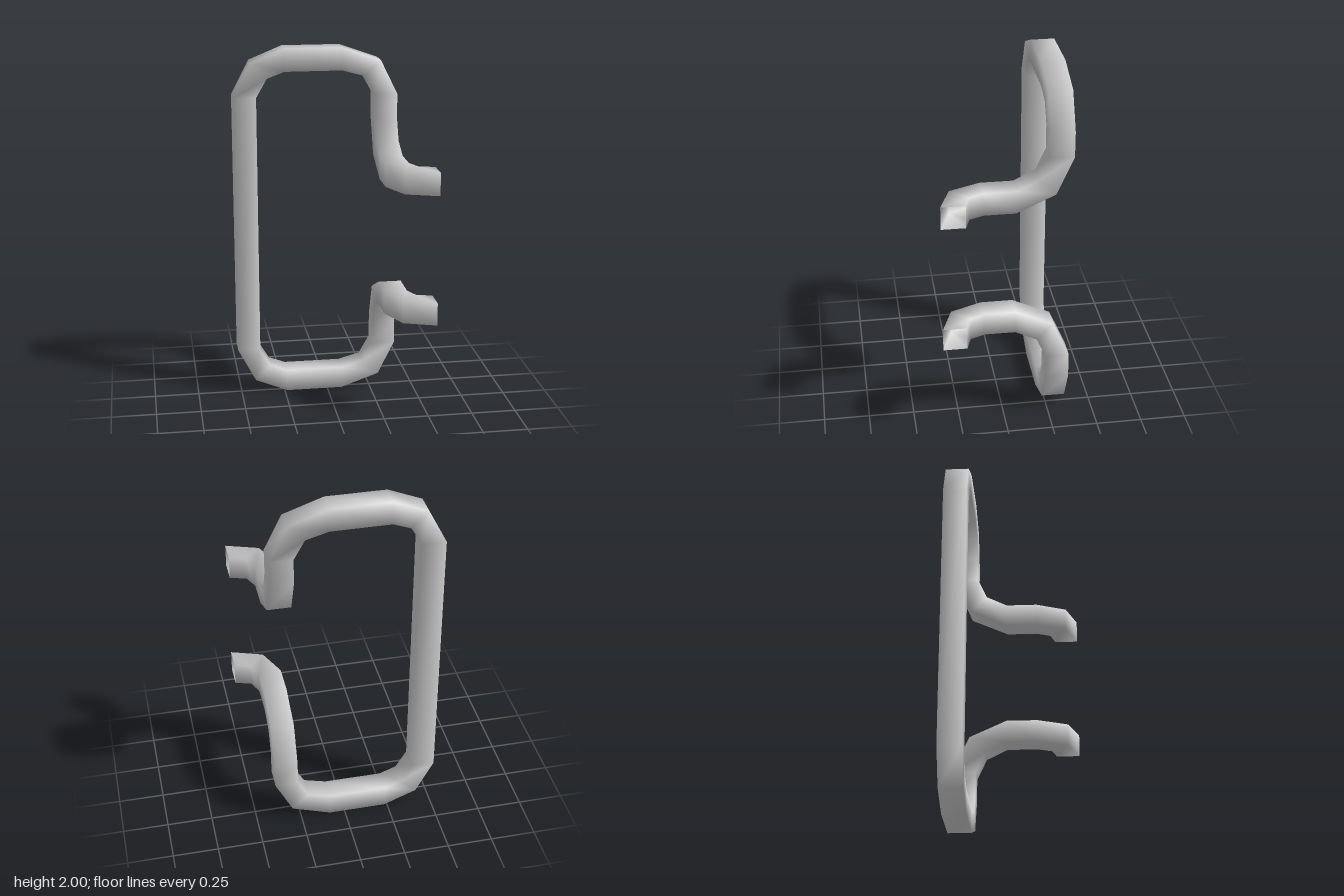
import * as THREE from 'three';

// Each ring holds four corners: inner back, inner front, outer front, outer back.
const BACK = -0.35, FRONT = -0.223;     // depth of the flat frame
const NEAR = 0.267, FAR = 0.394;        // x range of the hook bars
const TOP = 1.424, BOTTOM = 1.298;      // height range of the upper hook bar

const frameRing = ([ix, iy, ox, oy]) => [
  [ix, iy, BACK], [ix, iy, FRONT], [ox, oy, FRONT], [ox, oy, BACK]];
const bendRing = ([fy, fz, by, bz]) => [
  [NEAR, by, bz], [NEAR, fy, fz], [FAR, fy, fz], [FAR, by, bz]];
const tipRing = ([nx, nz, fx, fz]) => [
  [nx, BOTTOM, nz], [nx, TOP, nz], [fx, TOP, fz], [fx, BOTTOM, fz]];

// Loft a square bar through the rings, with shared vertices for soft shading
function loft(rings) {
  const index = [];
  for (let r = 0; r < rings.length - 1; r++) {
    for (let k = 0; k < 4; k++) {
      const a = r * 4 + k, b = r * 4 + (k + 1) % 4;
      index.push(a, b, b + 4, a, b + 4, a + 4);
    }
  }
  const geometry = new THREE.BufferGeometry();
  geometry.setAttribute('position', new THREE.Float32BufferAttribute(rings.flat(2), 3));
  geometry.setIndex(index);
  geometry.computeVertexNormals();
  return geometry;
}

export function createModel() {
  // Upper half, from the open hook tip round to the long grip
  const upper = [
    // sideways tip
    ...[[0.515, 0.35, 0.515, 0.221],
      [0.34, 0.288, 0.428, 0.194],
      [NEAR, 0.12, FAR, 0.116]].map(tipRing),
    // bend from the forward bar up into the frame
    ...[[TOP, -0.053, BOTTOM, -0.053],
      [1.482, -0.17, 1.392, -0.26],
      [1.6, FRONT, 1.595, BACK]].map(bendRing),
    // rounded frame corners
    ...[[NEAR, 1.735, FAR, 1.735],
      [0.208, 1.84, 0.3, 1.925],
      [0.085, 1.874, 0.085, 2],
      [-0.235, 1.874, -0.235, 2],
      [-0.33, 1.838, -0.418, 1.925],
      [-0.39, 1.735, -0.517, 1.735]].map(frameRing),
  ];
  // Lower half mirrors the upper one
  const lower = upper.map(ring => ring.map(([x, y, z]) => [x, 2 - y, z])).reverse();

  const handle = new THREE.Mesh(
    loft([...upper, ...lower]),
    new THREE.MeshStandardMaterial({ color: 0xcccccc, side: THREE.DoubleSide }));
  handle.name = 'bentHandleBar';

  const model = new THREE.Group();
  model.name = 'handle';
  model.add(handle);
  return model;
}
